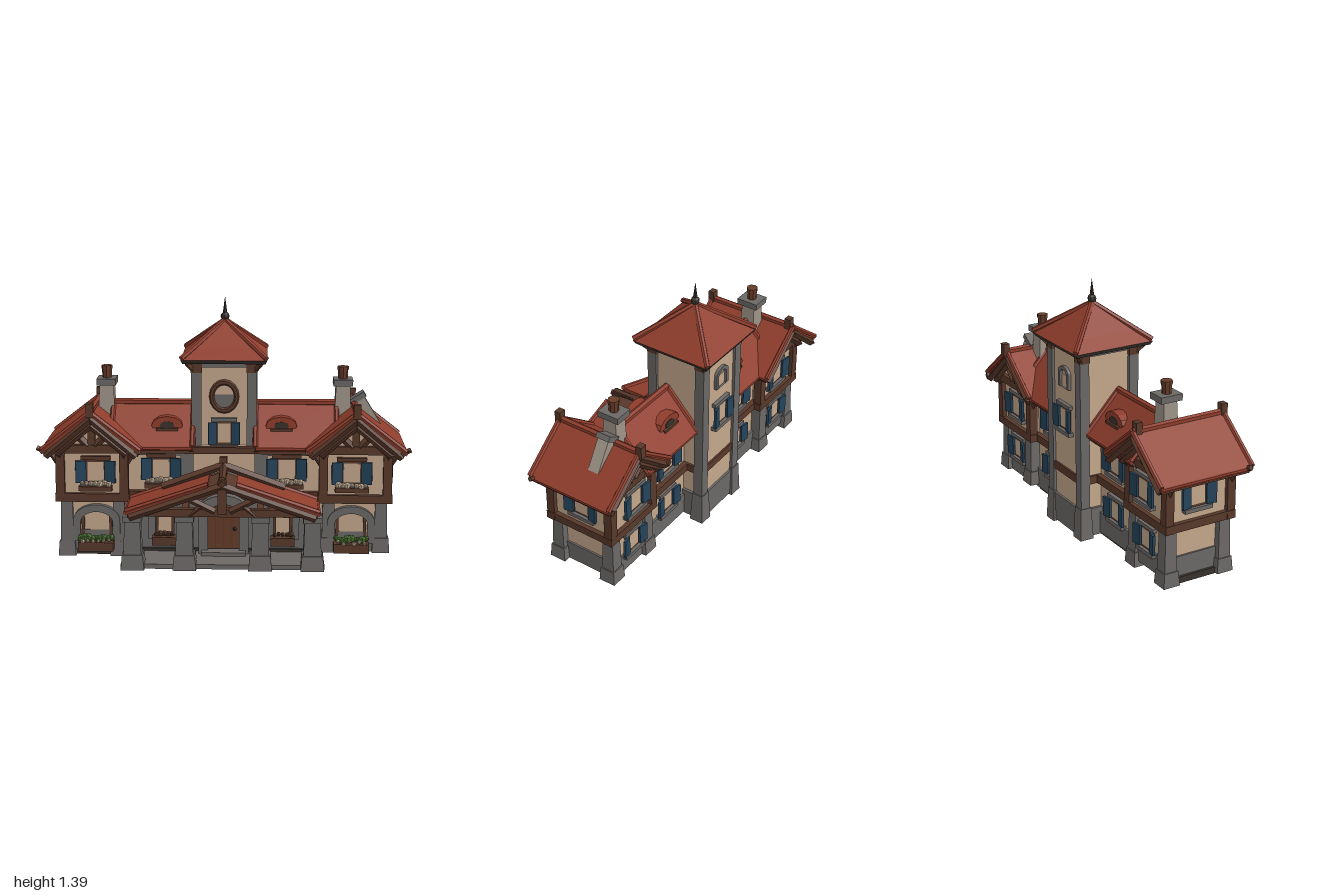
import * as THREE from 'three';

const mat = (name, color) => Object.assign(new THREE.MeshStandardMaterial({ color, flatShading: true }), { name });
const M = {
  roof: mat('red roof tile', 0x8f3d2c), wall: mat('cream plaster', 0xc3a68b), stone: mat('grey stone', 0x6b6866),
  wood: mat('brown timber', 0x58382a), dark: mat('dark metal', 0x38322d), blue: mat('blue shutter', 0x24435a),
  green: mat('leaf green', 0x48702f), pale: mat('pale stone', 0x9d9286), door: mat('door wood', 0x653b28),
  flower: mat('pale flower', 0xc8b39a),
};
let seed = 7;
const rnd = () => (seed = (seed * 16807) % 2147483647) / 2147483647;

function add(parent, name, geo, m, x = 0, y = 0, z = 0) {
  const o = new THREE.Mesh(geo, m);
  o.name = name; o.position.set(x, y, z); parent.add(o);
  return o;
}
const box = (p, name, m, w, h, d, x, y, z) => add(p, name, new THREE.BoxGeometry(w, h, d), m, x, y, z);
function group(parent, name, x = 0, y = 0, z = 0, ry = 0) {
  const g = new THREE.Group();
  g.name = name; g.position.set(x, y, z); g.rotation.y = ry; parent.add(g);
  return g;
}
// Round bar between two points
function rod(p, name, m, a, b, r, sides = 6) {
  const A = new THREE.Vector3(...a), d = new THREE.Vector3(...b).sub(A);
  const o = add(p, name, new THREE.CylinderGeometry(r, r, d.length(), sides), m);
  o.position.copy(A).addScaledVector(d, 0.5);
  o.quaternion.setFromUnitVectors(new THREE.Vector3(0, 1, 0), d.normalize());
  return o;
}
// Tapered four-sided block, rb and rt are half widths
function taper(p, name, m, rb, rt, h, x, y, z) {
  const g = new THREE.CylinderGeometry(rt * Math.SQRT2, rb * Math.SQRT2, h, 4, 1, false, Math.PI / 4);
  return add(p, name, g, m, x, y, z);
}
const extrude = (pts, depth) => new THREE.ExtrudeGeometry(new THREE.Shape(pts.map(q => new THREE.Vector2(...q))), { depth, bevelEnabled: false }).translate(0, 0, -depth / 2);

// Gabled roof, ridge along local z, tiles stop short of the ridge by inner
function gableRoof(p, hw, yE, yR, len, inner = 0) {
  const yI = yR - (yR - yE) * inner / hw;
  for (const s of [-1, 1]) {
    add(p, 'roofTiles', extrude([[hw, yE], [inner, yI], [inner, yI - 0.025], [hw, yE - 0.025]].map(([x, y]) => [x * s, y]), len), M.roof);
    rod(p, 'eaveTiles', M.roof, [s * (hw - 0.005), yE - 0.01, -len / 2], [s * (hw - 0.005), yE - 0.01, len / 2], 0.013);
    for (const z of [-len / 2, len / 2]) {
      rod(p, 'vergeTiles', M.roof, [s * hw, yE, z], [s * inner, yI, z], 0.014);
      rod(p, 'bargeBoard', M.wood, [s * (hw - 0.02), yE - 0.035, z * 0.97], [0, yR - 0.035, z * 0.97], 0.022, 4);
    }
  }
  add(p, 'roofUnderside', extrude([[-hw + 0.012, yE - 0.015], [0, yR - 0.02], [hw - 0.012, yE - 0.015], [hw - 0.012, yE - 0.04], [0, yR - 0.045], [-hw + 0.012, yE - 0.04]], len * 0.97), M.wood);
  rod(p, 'ridge', inner ? M.wood : M.roof, [0, yR, -len / 2], [0, yR, len / 2], 0.018);
}
function plants(p, m, w, x, y, z, count = 7, r = 0.018) {
  for (let i = 0; i < count; i++)
    add(p, 'plant', new THREE.IcosahedronGeometry(r * (0.7 + rnd() * 0.5), 0), m, x + w * ((i + 0.5) / count - 0.5), y + rnd() * 0.012, z + (rnd() - 0.5) * 0.02);
}
// Shuttered window facing local +z
function shutterWindow(p, x, y, z, ry = 0, w = 0.1, h = 0.12, boxed = false) {
  const g = group(p, 'window', x, y, z, ry), sw = w * 0.58;
  box(g, 'windowFrame', M.wood, w + 0.02, h + 0.02, 0.02, 0, 0, 0);
  box(g, 'windowPane', M.wall, w - 0.012, h - 0.016, 0.008, 0, 0, 0.009);
  box(g, 'lintel', boxed ? M.wood : M.stone, w + 0.06, 0.02, 0.03, 0, h / 2 + 0.013, 0.004);
  box(g, 'sill', M.stone, w + 0.07, 0.022, 0.04, 0, -h / 2 - 0.016, 0.008);
  for (const s of [-1, 1]) {
    const sh = box(g, 'shutter', M.blue, sw, h, 0.014, s * (w / 2 + sw / 2), 0, 0.022);
    sh.rotation.y = -s * 0.2;
  }
  if (boxed) {
    box(g, 'flowerBox', M.wood, w + 0.08, 0.025, 0.04, 0, -h / 2 - 0.03, 0.025);
    plants(g, M.flower, w + 0.07, 0, -h / 2 - 0.01, 0.03);
  }
}
// Arch outline from the ground up
function archPath(C, hw, h) {
  const s = new C();
  s.moveTo(-hw, 0); s.lineTo(hw, 0); s.lineTo(hw, h - hw * 0.7);
  s.absellipse(0, h - hw * 0.7, hw, hw * 0.7, 0, Math.PI, false); s.lineTo(-hw, 0);
  return s;
}
function arch(p, x, y, z, hw, h, rim, fill, ry = 0) {
  const g = group(p, 'archedOpening', x, y, z, ry), outer = archPath(THREE.Shape, hw + rim, h + rim);
  outer.holes.push(archPath(THREE.Path, hw, h));
  add(g, 'archSurround', new THREE.ExtrudeGeometry(outer, { depth: 0.04, bevelEnabled: false, curveSegments: 7 }), M.stone);
  add(g, 'archPanel', new THREE.ExtrudeGeometry(archPath(THREE.Shape, hw, h), { depth: 0.012, bevelEnabled: false, curveSegments: 7 }), fill);
  return g;
}
function stonePost(p, x, z, y0, y1, hw) {
  taper(p, 'stonePost', M.stone, hw, hw * 0.82, y1 - y0, x, (y0 + y1) / 2, z);
  taper(p, 'postFoot', M.stone, hw * 1.25, hw * 1.1, 0.08, x, y0 + 0.04, z);
}
function chimney(p, x, z) {
  const g = group(p, 'chimney', x, 0, z);
  taper(g, 'chimneyStack', M.pale, 0.048, 0.038, 0.26, 0, 0.8, 0);
  box(g, 'chimneyCap', M.stone, 0.105, 0.035, 0.125, 0, 0.935, 0);
  add(g, 'chimneyPot', new THREE.CylinderGeometry(0.028, 0.025, 0.07, 8), M.door, 0, 0.975, 0);
  add(g, 'potRim', new THREE.CylinderGeometry(0.031, 0.031, 0.02, 8), M.door, 0, 1.01, 0);
}

function buildWing(root, s) {
  const g = group(root, s > 0 ? 'leftWing' : 'rightWing', 0.708 * s, 0, -0.065), hw = 0.172, hd = 0.185;
  const foot = s > 0 ? 0.04 : 0.01;
  box(g, 'groundWall', M.wall, 0.3, 0.28, 0.35, -0.012 * s, 0.2, 0);
  box(g, 'plinth', M.stone, 0.32, 0.11, 0.365, -0.012 * s, 0.095, 0);
  add(g, 'upperWall', extrude([[-hw, 0.33], [hw, 0.33], [hw, 0.63], [0, 0.775], [-hw, 0.63]], hd * 2), M.wall);
  for (const x of [-hw, hw]) for (const z of [-hd, hd]) {
    stonePost(g, x * 0.82, z * 0.88, foot, 0.32, 0.038);
    box(g, 'cornerPost', M.wood, 0.048, 0.29, 0.048, x, 0.46, z);
    rod(g, 'eaveBrace', M.wood, [x, 0.5, z], [x * 1.42, 0.61, z], 0.014, 4);
    rod(g, 'gableBrace', M.wood, [x, 0.54, z], [x, 0.63, z * 1.3], 0.014, 4);
  }
  for (const z of [-hd, hd]) {
    const o = Math.sign(z);
    box(g, 'floorBeam', M.wood, 0.4, 0.045, 0.05, 0, 0.335, z);
    box(g, 'tieBeam', M.wood, 0.45, 0.045, 0.05, 0, 0.603, z);
    box(g, 'kingPost', M.wood, 0.04, 0.17, 0.04, 0, 0.7, z);
    for (const x of [-1, 1]) {
      rod(g, 'gableStrut', M.wood, [0.02 * x, 0.62, z + o * 0.01], [0.11 * x, 0.71, z + o * 0.01], 0.02, 4);
      rod(g, 'archBrace', M.wood, [0.19 * x, 0.58, z + o * 0.04], [0, 0.74, z + o * 0.05], 0.02, 4);
      rod(g, 'purlin', M.wood, [0.245 * x, 0.595, z], [0.245 * x, 0.595, z * 1.4], 0.018, 4);
    }
    box(g, 'ridgeEnd', M.wood, 0.04, 0.075, 0.035, 0, 0.825, o * 0.255);
    shutterWindow(g, -0.02 * s, 0.48, z + o * 0.005, o > 0 ? 0 : Math.PI, 0.1, 0.12, o > 0);
  }
  for (const x of [-hw, hw]) {
    box(g, 'sideFloorBeam', M.wood, 0.05, 0.045, 0.41, x, 0.335, 0);
    box(g, 'wallPlate', M.wood, 0.05, 0.04, 0.41, x, 0.59, 0);
  }
  rod(g, 'eaveHook', M.wood, [0.255 * s, 0.6, 0.23], [0.29 * s, 0.615, 0.23], 0.014, 4);
  shutterWindow(g, s * (hw + 0.003), 0.49, -0.015, s * Math.PI / 2, 0.095);
  shutterWindow(g, -0.01 * s, 0.21, -hd + 0.005, Math.PI, 0.09, 0.11);
  // Ground floor front window and planter
  arch(g, -0.02 * s, 0.09, 0.165, 0.088, 0.165, 0.04, M.wall);
  for (const x of [-0.075, 0.075]) box(g, 'windowJamb', M.wood, 0.016, 0.11, 0.008, x - 0.02 * s, 0.17, 0.182);
  box(g, 'planter', M.wood, 0.19, 0.05, 0.07, -0.02 * s, 0.075, 0.23);
  plants(g, M.green, 0.18, -0.02 * s, 0.113, 0.23, 9, 0.022);
  plants(g, M.flower, 0.17, -0.02 * s, 0.102, 0.255, 6, 0.012);
  gableRoof(group(g, 'wingRoof', 0, 0, s > 0 ? 0.005 : -0.012), 0.264, 0.61, 0.815, s > 0 ? 0.5 : 0.54);
  chimney(g, -0.063 * s, -0.045);
  // Small slanted flue on one outer slope
  if (s > 0) {
    box(g, 'sideFlue', M.pale, 0.075, 0.19, 0.065, 0.065, 0.765, -0.065).rotation.z = 0.55;
    box(g, 'flueCap', M.stone, 0.09, 0.03, 0.08, 0.02, 0.845, -0.065).rotation.z = 0.55;
  }
}

function buildHall(root) {
  const g = group(root, 'mainHall');
  box(g, 'hallWall', M.wall, 1.1, 0.56, 0.25, 0, 0.32, -0.08);
  box(g, 'hallPlinth', M.stone, 1.1, 0.12, 0.28, 0, 0.08, -0.08);
  box(g, 'frontStoneWall', M.stone, 1.04, 0.3, 0.03, 0, 0.18, 0.055);
  for (const z of [-0.215, 0.06]) {
    box(g, 'hallFloorBeam', M.wood, 1.08, 0.045, 0.04, 0, 0.335, z);
    box(g, 'hallWallPlate', M.wood, 1.08, 0.035, 0.04, 0, 0.585, z);
  }
  for (const s of [-1, 1]) {
    gableRoof(group(g, 'hallRoof', 0.39 * s, 0, -0.1, Math.PI / 2), 0.195, 0.61, 0.82, 0.44);
    shutterWindow(g, 0.34 * s, 0.48, 0.05, 0, 0.1, 0.12, true);
    shutterWindow(g, 0.34 * s, 0.48, -0.21, Math.PI);
    shutterWindow(g, 0.34 * s, 0.21, -0.21, Math.PI, 0.09, 0.11);
    box(g, 'stonePier', M.stone, 0.07, 0.24, 0.04, 0.2 * s, 0.46, 0.05);
    box(g, 'stoneFrieze', M.stone, 0.34, 0.025, 0.03, 0.34 * s, 0.567, 0.048);
    arch(g, 0.32 * s, 0.1, 0.068, 0.05, 0.165, 0.04, M.wall);
    for (const x of [-0.043, 0.043]) box(g, 'windowJamb', M.wood, 0.014, 0.12, 0.008, 0.32 * s + x, 0.17, 0.084);
    box(g, 'planter', M.wood, 0.13, 0.045, 0.06, 0.32 * s, 0.1, 0.14);
    plants(g, M.wood, 0.11, 0.32 * s, 0.13, 0.14, 5, 0.016);
    // Eyebrow dormers on both slopes
    for (const f of [-1, 1]) {
      const d = group(g, 'eyebrowDormer', 0.31 * s, 0.71, -0.1 + 0.115 * f, f > 0 ? 0 : Math.PI);
      for (const [name, m, k, z] of [['dormerHood', M.roof, 1, -0.05], ['dormerOpening', M.dark, 0.45, -0.046]]) {
        const c = new THREE.CylinderGeometry(0.085 * k, 0.085 * k, 0.1, 12).rotateX(Math.PI / 2).scale(1, 0.58, 1);
        add(d, name, c, m, 0, 0, z);
      }
      box(d, 'dormerSill', M.wood, 0.12, 0.015, 0.02, 0, -0.02, 0.005);
    }
  }
}

function buildTower(root) {
  const g = group(root, 'tower', 0, 0, -0.16);
  box(g, 'towerWall', M.wall, 0.32, 1.02, 0.325, 0, 0.56, 0);
  box(g, 'towerBase', M.stone, 0.35, 0.16, 0.35, 0, 0.09, 0);
  for (const x of [-0.15, 0.15]) for (const z of [-0.15, 0.15]) {
    box(g, 'towerCorner', M.stone, 0.055, 0.92, 0.055, x, 0.56, z);
    box(g, 'cornerTimber', M.wood, 0.06, 0.05, 0.06, x, 1.025, z);
    taper(g, 'cornerFoot', M.stone, 0.04, 0.032, 0.18, x, 0.09, z);
    rod(g, 'eaveBracket', M.wood, [x, 0.99, z], [x * 1.33, 1.055, z * 1.33], 0.014, 4);
    rod(g, 'hipTiles', M.roof, [x * 1.52, 1.085, z * 1.54], [0, 1.265, 0], 0.015);
  }
  box(g, 'towerFloorBeam', M.wood, 0.345, 0.045, 0.345, 0, 0.335, 0);
  box(g, 'towerTopBeam', M.stone, 0.35, 0.03, 0.35, 0, 1.045, 0);
  taper(g, 'towerEave', M.dark, 0.222, 0.232, 0.02, 0, 1.065, 0);
  taper(g, 'towerRoofSkirt', M.roof, 0.232, 0.165, 0.055, 0, 1.1025, 0);
  taper(g, 'towerRoofTop', M.roof, 0.165, 0.008, 0.14, 0, 1.2, 0);
  // Finial
  add(g, 'finialSpike', new THREE.ConeGeometry(0.016, 0.12, 8), M.dark, 0, 1.335, 0);
  add(g, 'finialBall', new THREE.SphereGeometry(0.024, 8, 6), M.dark, 0, 1.285, 0);
  // Front round window and openings
  const ring = add(g, 'roundWindowRing', new THREE.TorusGeometry(0.068, 0.014, 6, 16), M.wood, 0, 0.87, 0.168);
  ring.scale.y = 1.15;
  add(g, 'roundWindow', new THREE.CircleGeometry(0.068, 16), M.stone, 0, 0.87, 0.166);
  add(g, 'roundWindowLight', new THREE.CircleGeometry(0.05, 12, 0, Math.PI), M.wall, 0, 0.88, 0.169);
  shutterWindow(g, 0, 0.67, 0.166, 0, 0.08, 0.12);
  shutterWindow(g, 0, 0.65, -0.166, Math.PI, 0.08, 0.12);
  arch(g, 0, 0.82, -0.14, 0.035, 0.1, 0.02, M.wall, Math.PI);
  box(g, 'archBacking', M.wall, 0.068, 0.07, 0.008, 0, 0.855, -0.164);
}

function buildPorch(root) {
  const g = group(root, 'porch', 0, 0, 0.235);
  box(g, 'terrace', M.stone, 1.08, 0.025, 0.25, 0, 0.0125, -0.02);
  gableRoof(g, 0.51, 0.325, 0.495, 0.28, 0.075);
  for (const s of [-1, 1]) {
    for (const x of [0.2, 0.475]) {
      stonePost(g, x * s, 0.075, 0, 0.28, 0.05);
      box(g, 'postCap', M.stone, 0.1, 0.03, 0.11, x * s, 0.275, 0.075);
      box(g, 'crossBeam', M.wood, 0.035, 0.035, 0.25, x * s, 0.305, 0);
      rod(g, 'kneeBrace', M.wood, [x * s, 0.27, 0.11], [(x - 0.09) * s, 0.35, 0.12], 0.014, 4);
    }
    rod(g, 'trussBrace', M.wood, [0.04 * s, 0.32, 0.12], [0.2 * s, 0.4, 0.12], 0.018, 4);
    rod(g, 'upperRafter', M.wood, [0.33 * s, 0.4, -0.09], [0, 0.52, -0.09], 0.022, 4);
  }
  box(g, 'frontBeam', M.wood, 1.0, 0.04, 0.045, 0, 0.31, 0.1);
  box(g, 'kingPost', M.wood, 0.045, 0.18, 0.04, 0, 0.4, 0.125);
  rod(g, 'ridgeBeam', M.wood, [0, 0.475, 0.16], [0, 0.52, -0.12], 0.02, 4);
  box(g, 'ridgePost', M.wood, 0.04, 0.1, 0.03, 0, 0.515, -0.1);
  // Arched entrance
  const d = arch(g, 0, 0.025, -0.17, 0.085, 0.275, 0.05, M.door);
  d.scale.z = 1.8;
  for (const x of [-0.045, 0, 0.045]) box(d, 'doorGroove', M.wood, 0.005, 0.21, 0.006, x, 0.11, 0.012);
  add(d, 'doorKnob', new THREE.SphereGeometry(0.01, 8, 6), M.dark, 0.06, 0.13, 0.018);
  box(g, 'doorStep', M.stone, 0.24, 0.03, 0.08, 0, 0.03, -0.09);
}

export function createModel() {
  const root = new THREE.Group();
  root.name = 'timberedHall';
  box(root, 'foundation', M.dark, 1.4, 0.035, 0.3, -0.17, 0.0225, -0.06);
  for (const s of [-1, 1]) buildWing(root, s);
  buildHall(root);
  buildTower(root);
  buildPorch(root);
  return root;
}
